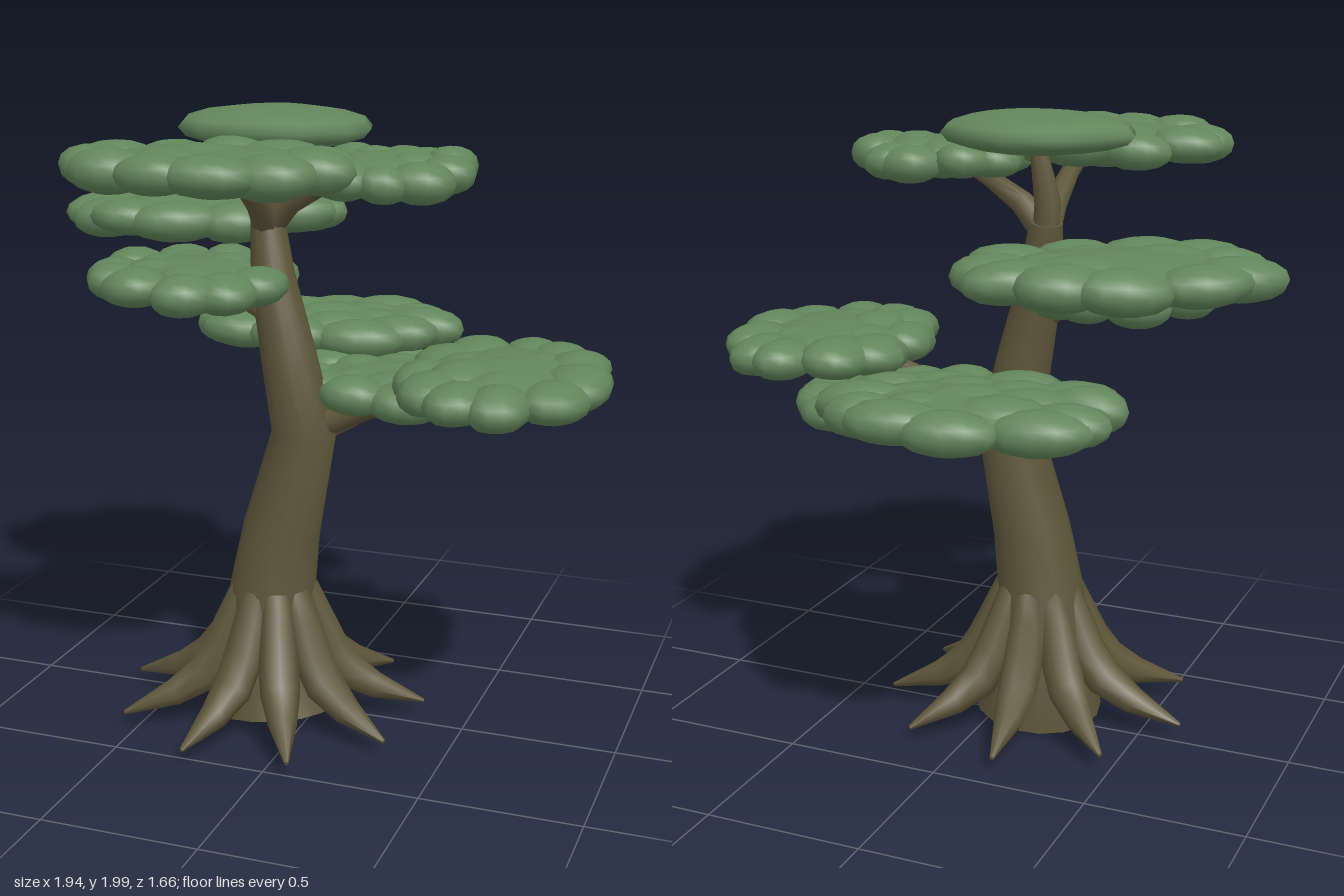
import * as THREE from 'three';
import { toCreasedNormals } from 'three/addons/utils/BufferGeometryUtils.js';

const bark = new THREE.MeshStandardMaterial({ color: 0x5e563a });
bark.name = 'bark';
const leaf = new THREE.MeshStandardMaterial({ color: 0x62855b });
leaf.name = 'leaf';

// Small seeded random generator
function seeded(seed) {
  let s = seed;
  return () => (s = (s * 16807) % 2147483647) / 2147483647;
}

// Tapered limb through points [x, y, z, radius], closed at both ends
function limb(name, points, sides) {
  const pts = points.map(p => new THREE.Vector3(p[0], p[1], p[2]));
  const n = pts.length;
  const dir = pts[n - 1].clone().sub(pts[0]);
  const axes = [new THREE.Vector3(1, 0, 0), new THREE.Vector3(0, 1, 0), new THREE.Vector3(0, 0, 1)];
  const ref = axes.sort((a, b) => Math.abs(a.dot(dir)) - Math.abs(b.dot(dir)))[0];
  const pos = [];
  const idx = [];
  pts.forEach((p, k) => {
    const t = pts[Math.min(k + 1, n - 1)].clone().sub(pts[Math.max(k - 1, 0)]).normalize();
    const u = ref.clone().cross(t).normalize();
    const v = t.clone().cross(u);
    for (let j = 0; j < sides; j++) {
      const a = (j / sides) * Math.PI * 2;
      const q = p.clone().addScaledVector(u, Math.cos(a) * points[k][3]).addScaledVector(v, Math.sin(a) * points[k][3]);
      pos.push(q.x, q.y, q.z);
    }
  });
  const first = n * sides;
  pos.push(...pts[0].toArray(), ...pts[n - 1].toArray());
  for (let j = 0; j < sides; j++) {
    const m = (j + 1) % sides;
    for (let k = 0; k < n - 1; k++) {
      const a = k * sides + j, b = k * sides + m;
      idx.push(a, b, a + sides, b, b + sides, a + sides);
    }
    const top = (n - 1) * sides;
    idx.push(first, m, j, first + 1, top + j, top + m);
  }
  const geo = new THREE.BufferGeometry();
  geo.setAttribute('position', new THREE.Float32BufferAttribute(pos, 3));
  geo.setIndex(idx);
  const mesh = new THREE.Mesh(toCreasedNormals(geo, 0.9), bark);
  mesh.name = name;
  return mesh;
}

// Flattened, slightly irregular puff of leaves with a fairly flat top
function puff(rand, rx, ry, rz) {
  const geo = new THREE.SphereGeometry(1, 12, 8);
  const p = geo.attributes.position;
  const f = [rand() * 6, rand() * 6];
  for (let i = 0; i < p.count; i++) {
    const x = p.getX(i), y = p.getY(i), z = p.getZ(i);
    const a = Math.atan2(z, x);
    const k = 1 + 0.04 * Math.sin(3 * a + f[0]) + 0.03 * Math.sin(5 * a + f[1]);
    p.setXYZ(i, x * k * rx, Math.sign(y) * Math.pow(Math.abs(y), 0.9) * ry, z * k * rz);
  }
  geo.computeVertexNormals();
  return new THREE.Mesh(geo, leaf);
}

// Pad of foliage: a core with two rings of overlapping puffs
function foliagePad(name, [x, y, z], [rx, ry, rz], turn, seed) {
  const rand = seeded(seed);
  const pad = new THREE.Group();
  pad.name = name;
  const core = puff(rand, rx * 0.8, ry * 0.85, rz * 0.8);
  core.name = 'foliageCore';
  pad.add(core);
  for (const [count, reach, size] of [[11, 0.71, 0.29], [6, 0.38, 0.31], [1, 0, 0.3]]) {
    for (let i = 0; i < count; i++) {
      const a = ((i + 0.4 * rand()) / count) * Math.PI * 2;
      const s = size * (0.9 + 0.25 * rand());
      const blob = puff(rand, rx * s, ry * (0.8 + 0.12 * rand()), rz * s);
      blob.position.set(Math.cos(a) * rx * reach, (rand() - 0.5) * ry * 0.25, Math.sin(a) * rz * reach);
      blob.rotation.set((rand() - 0.5) * 0.12, 0, (rand() - 0.5) * 0.12);
      blob.name = 'foliagePuff';
      pad.add(blob);
    }
  }
  pad.position.set(x, y, z);
  pad.rotation.y = turn;
  return pad;
}

export function createModel() {
  const tree = new THREE.Group();
  tree.name = 'tree';

  // Leaning trunk with a flared foot
  tree.add(limb('trunk', [
    [-0.125, 0.035, 0.065, 0.21], [-0.14, 0.2, 0.05, 0.18], [-0.13, 0.45, 0.065, 0.14],
    [-0.10, 0.65, 0.06, 0.125], [-0.025, 0.98, 0.055, 0.103], [-0.07, 1.22, 0.07, 0.088],
    [-0.13, 1.47, 0.05, 0.07], [-0.155, 1.66, 0.03, 0.052],
  ], 16));

  // Roots spreading around the foot
  const roots = new THREE.Group();
  roots.name = 'roots';
  const rand = seeded(77);
  for (let i = 0; i < 9; i++) {
    const k = 0.97 + 0.05 * rand();
    const root = limb('root', [
      [0, 0.45, 0.095, 0.05], [0, 0.36, 0.13, 0.058], [0, 0.25, 0.175, 0.066],
      [0, 0.165, 0.24 * k, 0.064], [0, 0.11, 0.34 * k, 0.046], [0, 0.058, 0.505 * k, 0.007],
    ], 8);
    root.rotation.y = THREE.MathUtils.degToRad(65 + 40 * i);
    roots.add(root);
  }
  roots.position.set(-0.125, 0, 0.065);
  tree.add(roots);

  // Branches reaching up into each pad
  const branches = [
    [[-0.15, 1.6, 0.03, 0.045], [-0.16, 1.72, 0.03, 0.045], [-0.12, 1.92, 0.03, 0.025]],
    [[-0.15, 1.62, 0.03, 0.05], [-0.15, 1.71, 0.12, 0.04], [-0.15, 1.79, 0.25, 0.03], [-0.15, 1.84, 0.42, 0.015]],
    [[-0.16, 1.62, 0.03, 0.05], [-0.07, 1.71, 0.05, 0.04], [0.05, 1.77, 0.09, 0.03], [0.2, 1.82, 0.15, 0.015]],
    [[-0.12, 1.42, 0.04, 0.045], [-0.2, 1.48, -0.12, 0.035], [-0.3, 1.55, -0.27, 0.03], [-0.46, 1.6, -0.36, 0.015]],
    [[-0.09, 1.32, 0.06, 0.05], [-0.17, 1.38, 0.07, 0.04], [-0.32, 1.45, 0.1, 0.02]],
    [[-0.04, 1.02, 0.04, 0.05], [-0.08, 1.1, -0.15, 0.04], [-0.14, 1.18, -0.42, 0.02]],
    [[0.0, 1.0, 0.05, 0.05], [0.15, 1.06, 0.04, 0.04], [0.32, 1.13, 0.05, 0.035], [0.55, 1.2, 0.08, 0.015]],
    [[0.0, 0.98, 0.04, 0.05], [0.1, 1.02, -0.02, 0.04], [0.22, 1.09, -0.15, 0.02]],
  ];
  for (const points of branches) tree.add(limb('branch', points, 8));

  // Single smooth cap at the top
  const cap = puff(seeded(5), 0.31, 0.065, 0.26);
  cap.name = 'topFoliage';
  cap.position.set(-0.12, 1.935, 0.035);
  tree.add(cap);

  // Layered pads: name, centre, half sizes, turn
  const pads = [
    ['frontUpperFoliage', [-0.16, 1.86, 0.5], [0.45, 0.072, 0.335], 0.1],
    ['leftUpperFoliage', [0.26, 1.83, 0.19], [0.3, 0.068, 0.31], 0],
    ['rightBackFoliage', [-0.53, 1.6, -0.37], [0.48, 0.074, 0.34], 0.5],
    ['rightMiddleFoliage', [-0.38, 1.46, 0.1], [0.34, 0.072, 0.36], 0],
    ['backLowerFoliage', [-0.15, 1.2, -0.52], [0.47, 0.075, 0.3], 0.2],
    ['leftLowerFoliage', [0.62, 1.21, 0.085], [0.33, 0.074, 0.44], 0],
    ['lowestFoliage', [0.2, 1.1, -0.19], [0.39, 0.072, 0.34], 0],
  ];
  pads.forEach(([name, centre, size, turn], i) => tree.add(foliagePad(name, centre, size, turn, 101 + i * 977)));

  return tree;
}
